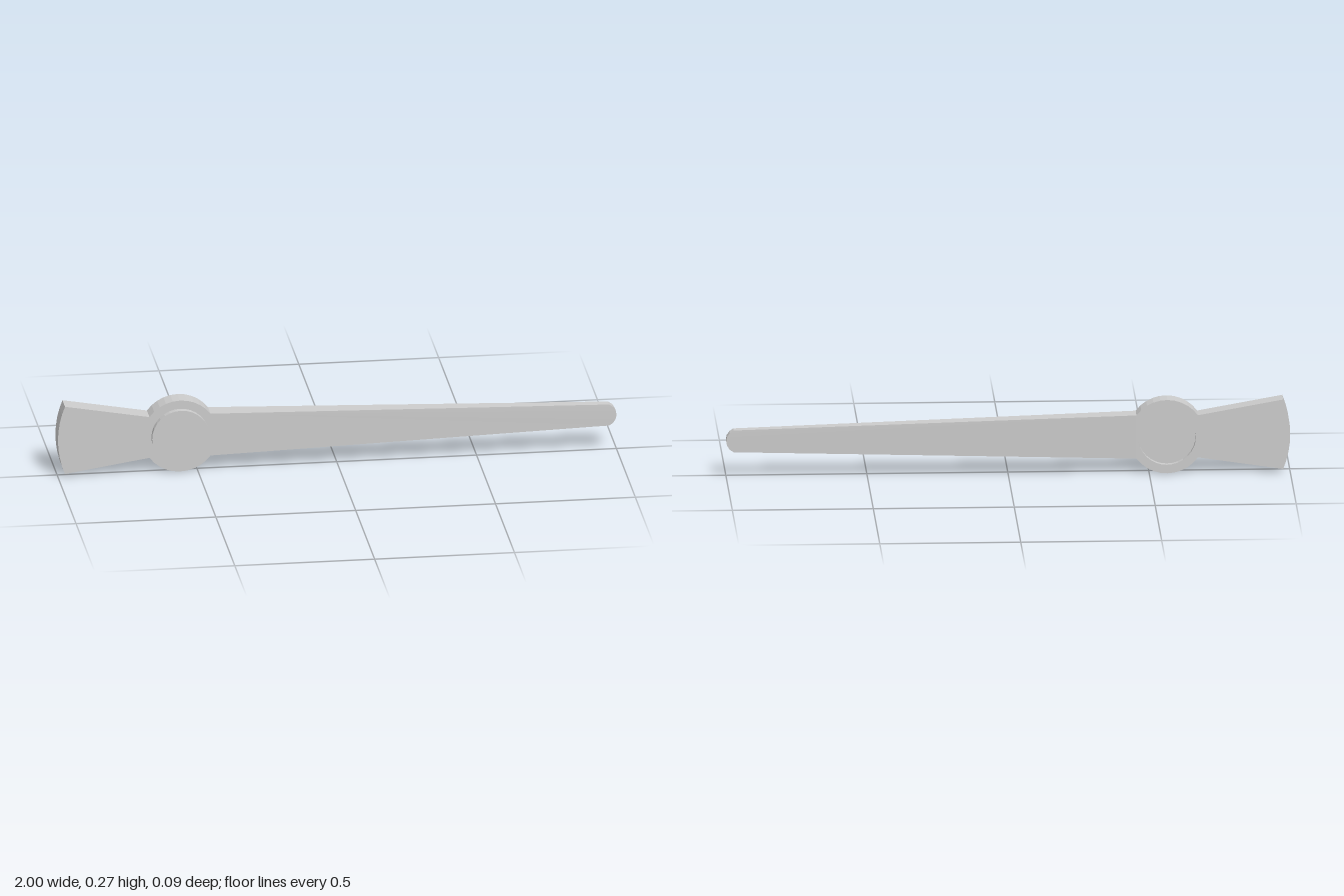
import * as THREE from 'three';

const HUB = { x: -0.563, y: 0.134, r: 0.134, boss: 0.103 };
const MID_Z = -0.01, HALF = 0.034;      // main slab: centre depth and half thickness
const BLADE_START = -0.455, BLADE_END = 0.973;

// points along an arc, ends included
function arc(cx, cy, r, a0, a1, n) {
  return Array.from({ length: n + 1 }, (_, i) => {
    const a = a0 + ((a1 - a0) * i) / n;
    return new THREE.Vector2(cx + r * Math.cos(a), cy + r * Math.sin(a));
  });
}

// slab centred on z = 0
function slab(shape) {
  const g = new THREE.ExtrudeGeometry(shape, { depth: HALF * 2, bevelEnabled: false });
  return g.translate(0, 0, -HALF);
}

export function createModel() {
  const group = new THREE.Group();
  const material = new THREE.MeshStandardMaterial({ color: 0xcccccc, flatShading: true });
  const add = (name, geometry, z) => {
    const mesh = new THREE.Mesh(geometry, material);
    mesh.name = name;
    mesh.position.z = z;
    group.add(mesh);
    return mesh;
  };

  // hub with flared tail, pierced by a round hole
  const join = Math.asin(0.079 / HUB.r);       // where blade and tail meet the hub
  const tailJoin = Math.PI - Math.asin(0.077 / HUB.r);
  const head = new THREE.Shape([
    ...arc(HUB.x, HUB.y, HUB.r, join, tailJoin, 10),
    ...arc(-0.665, 0.138, 0.335, Math.PI - 0.389, Math.PI + 0.389, 8),
    ...arc(HUB.x, HUB.y, HUB.r, -tailJoin, -join, 10),
  ]);
  head.holes.push(new THREE.Path(arc(HUB.x, HUB.y, HUB.boss, 0, -Math.PI * 2, 32).slice(0, 32)));
  add('hubAndTail', slab(head), MID_Z);

  // plug: stands proud in front, leaves a shallow recess behind
  const back = -0.024, front = 0.045;
  const plug = new THREE.CylinderGeometry(HUB.boss, HUB.boss, front - back, 32);
  plug.rotateX(Math.PI / 2);
  add('boss', plug, (front + back) / 2).position.set(HUB.x, HUB.y, (front + back) / 2);

  // long blade with rounded tip, thinning towards the tip
  const blade = new THREE.Shape([
    new THREE.Vector2(BLADE_START, HUB.y + 0.079),
    new THREE.Vector2(BLADE_START, HUB.y - 0.079),
    ...arc(0.957, 0.13, 0.043, -1.18, 1.18, 6),
  ]);
  const bladeGeo = slab(blade);
  const p = bladeGeo.attributes.position;
  for (let i = 0; i < p.count; i++) {
    const t = THREE.MathUtils.clamp((p.getX(i) - BLADE_START) / (BLADE_END - BLADE_START), 0, 1);
    p.setZ(i, p.getZ(i) * THREE.MathUtils.lerp(1, 0.46, t));
  }
  bladeGeo.computeVertexNormals();
  add('blade', bladeGeo, MID_Z);

  return group;
}
